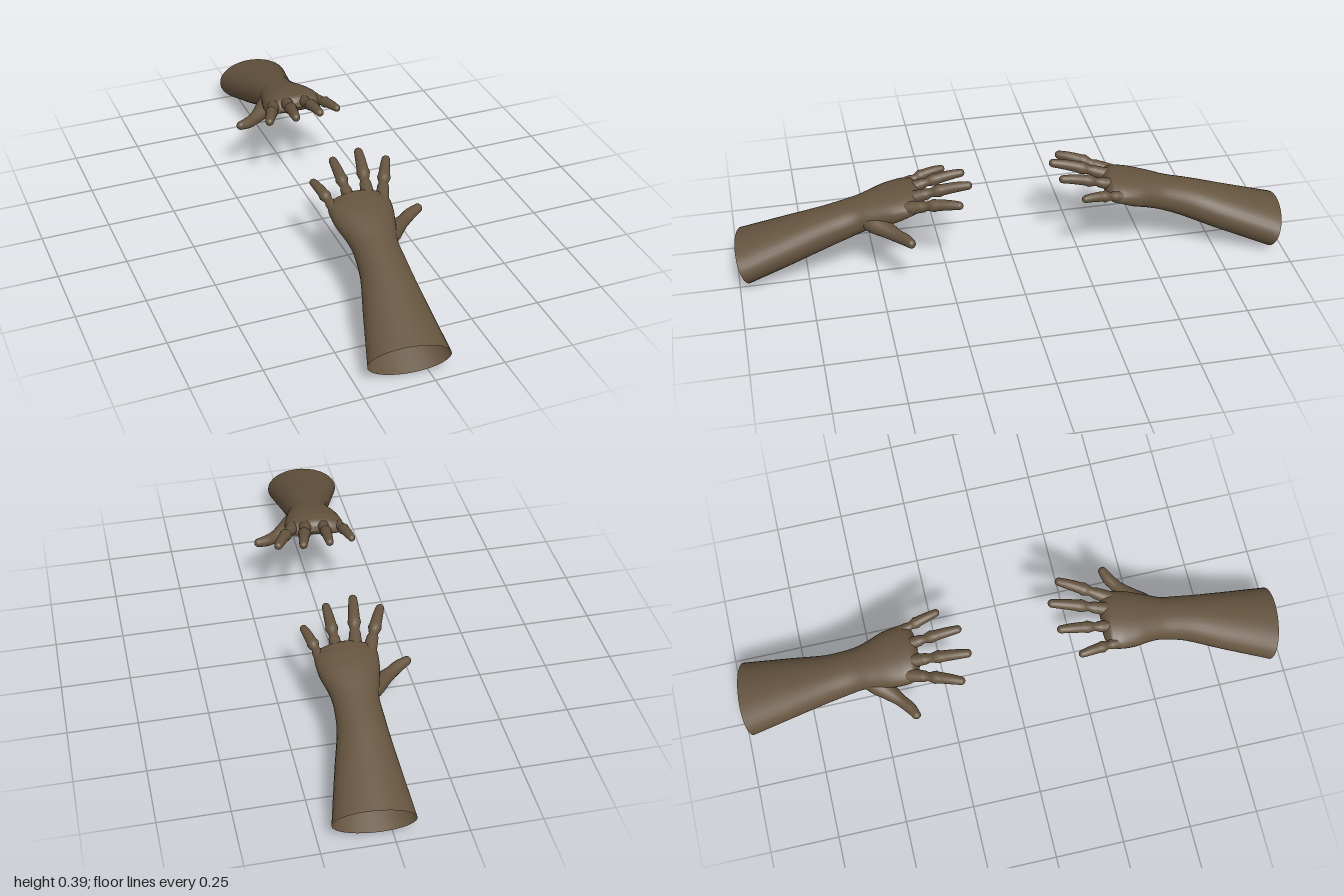
import * as THREE from 'three';

const skin = new THREE.MeshStandardMaterial({ color: 0x65543f, side: THREE.DoubleSide });
skin.name = 'brown glove';

// Sweeps oval rings through stations [x, y, z, halfWidth, halfHeight] and domes the far end.
// arch lowers the sides of the rings towards the far end; square > 0 makes them boxier there.
function sweep(name, stations, { steps = 20, sides = 20, arch = 0, square = 0 } = {}) {
  const path = new THREE.CatmullRomCurve3(stations.map(s => new THREE.Vector3(s[0], s[1], s[2])));
  const size = new THREE.CatmullRomCurve3(stations.map(s => new THREE.Vector3(s[3], s[4], 0)));
  const up = new THREE.Vector3(0, 1, 0);
  const domeSteps = 6;
  const positions = [], indices = [];
  for (let i = 0; i <= steps + domeSteps; i++) {
    const t = Math.min(i / steps, 1);
    const dome = Math.max(0, i - steps) / domeSteps * Math.PI * 0.495;
    const tangent = path.getTangent(t);
    const side = new THREE.Vector3().crossVectors(tangent, up).normalize();
    const normal = new THREE.Vector3().crossVectors(side, tangent);
    const r = size.getPoint(t);
    const centre = path.getPoint(t).addScaledVector(tangent, r.y * Math.sin(dome));
    const power = 1 - square * t;
    for (let j = 0; j < sides; j++) {
      const a = j / sides * Math.PI * 2;
      const c = Math.sign(Math.cos(a)) * Math.abs(Math.cos(a)) ** power;
      const s = Math.sign(Math.sin(a)) * Math.abs(Math.sin(a)) ** power;
      const p = centre.clone()
        .addScaledVector(side, c * r.x * Math.cos(dome))
        .addScaledVector(normal, s * r.y * Math.cos(dome) - arch * t * t * c * c);
      positions.push(p.x, p.y, p.z);
      if (i > 0) {
        const k = (j + 1) % sides, a0 = (i - 1) * sides, b0 = i * sides;
        indices.push(a0 + j, b0 + j, a0 + k, a0 + k, b0 + j, b0 + k);
      }
    }
  }
  const geometry = new THREE.BufferGeometry();
  geometry.setAttribute('position', new THREE.Float32BufferAttribute(positions, 3));
  geometry.setIndex(indices);
  geometry.computeVertexNormals();
  const mesh = new THREE.Mesh(geometry, skin);
  mesh.name = name;
  return mesh;
}

// A finger tapers from a broad root inside the palm to a rounded tip
function finger(name, root, tip, r) {
  const at = (t, lift, k, flat = 1) => [
    ...root.map((v, i) => v + (tip[i] - v) * t + (i === 1 ? lift : 0)), r * k, r * k * flat];
  return sweep(name, [
    at(-0.28, -0.006, 1.35, 1.1), at(0, 0, 1.2), at(0.22, 0.003, 1.02),
    at(0.5, 0.006, 1.02), at(0.75, 0.004, 0.9), at(0.92, 0, 0.76)]);
}

function createArm(name) {
  const arm = new THREE.Group();
  arm.name = name;

  // Forearm, open at the elbow, running into the wrist and palm
  arm.add(sweep('forearmAndPalm', [
    [-0.08, 0.088, 0.97, 0.14, 0.083],
    [-0.056, 0.153, 0.80, 0.11, 0.075],
    [-0.034, 0.213, 0.65, 0.084, 0.065],
    [-0.027, 0.247, 0.56, 0.079, 0.058],
    [-0.021, 0.270, 0.50, 0.091, 0.055],
    [-0.018, 0.292, 0.44, 0.107, 0.050],
    [-0.015, 0.311, 0.39, 0.111, 0.040],
    [-0.013, 0.318, 0.37, 0.107, 0.033],
  ], { steps: 36, sides: 32, arch: 0.016, square: 0.18 }));

  // Fingers: root, tip, radius
  arm.add(
    finger('indexFinger', [0.075, 0.315, 0.372], [0.16, 0.358, 0.205], 0.020),
    finger('middleFinger', [0.025, 0.325, 0.360], [0.072, 0.383, 0.155], 0.020),
    finger('ringFinger', [-0.042, 0.322, 0.362], [-0.031, 0.374, 0.165], 0.019),
    finger('littleFinger', [-0.102, 0.304, 0.382], [-0.129, 0.338, 0.225], 0.018));

  // Thumb with its fleshy base
  arm.add(sweep('thumb', [
    [0.005, 0.255, 0.545, 0.034, 0.034],
    [0.045, 0.247, 0.502, 0.042, 0.036],
    [0.090, 0.242, 0.466, 0.031, 0.028],
    [0.130, 0.240, 0.436, 0.022, 0.023],
    [0.165, 0.244, 0.412, 0.021, 0.021],
    [0.198, 0.249, 0.398, 0.016, 0.017],
  ]));
  return arm;
}

export function createModel() {
  const model = new THREE.Group();
  model.name = 'pairOfArms';
  const front = createArm('frontArm');
  // The second arm faces the first, slightly turned and lowered
  const back = createArm('backArm');
  back.rotation.set(0.015, Math.PI + 0.05, 0);
  back.position.set(0.035, -0.02, 0);
  model.add(front, back);
  return model;
}
